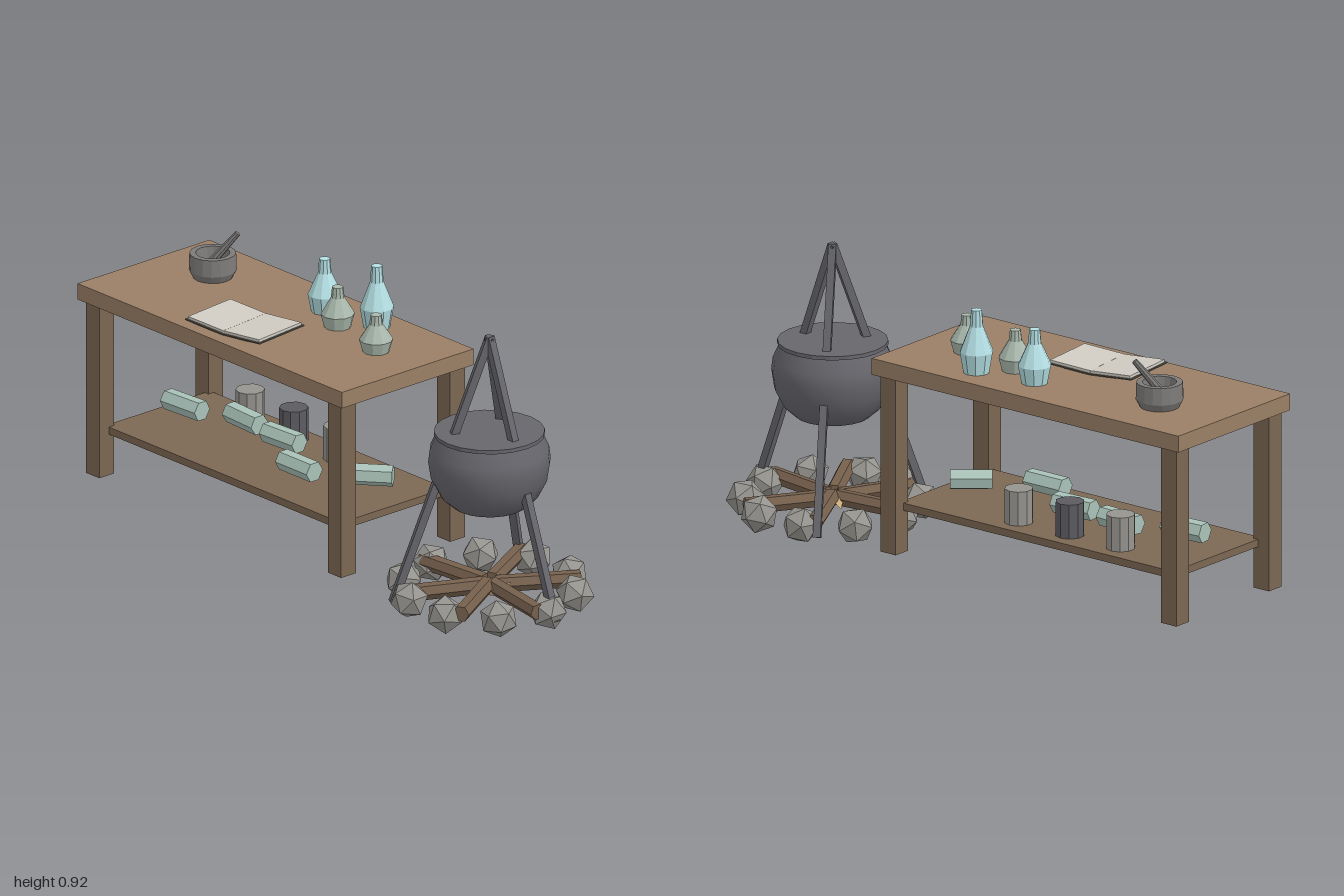
import * as THREE from 'three';

const mats = {};
const mat = (color, flat = true) => mats[color + '' + flat] ??= new THREE.MeshStandardMaterial({ color, flatShading: flat, side: THREE.DoubleSide });
const WOOD = 0x9a7f66, DARKWOOD = 0x7c6753, IRON = 0x67666c, STONE = 0x96948f, GLASS = 0xb4dfe3, GREEN = 0xa9b8ac;
const UP = new THREE.Vector3(0, 1, 0);
const V = (x, y, z) => new THREE.Vector3(x, y, z);

function add(parent, name, geo, material, x = 0, y = 0, z = 0) {
  const m = new THREE.Mesh(geo, material);
  m.name = name;
  m.position.set(x, y, z);
  parent.add(m);
  return m;
}
const box = (p, n, w, h, d, c, x, y, z) => add(p, n, new THREE.BoxGeometry(w, h, d), mat(c), x, y, z);

// Straight round or many-sided bar between two points
function bar(parent, name, a, b, r0, r1, sides, color) {
  const m = add(parent, name, new THREE.CylinderGeometry(r1, r0, a.distanceTo(b), sides), mat(color));
  m.position.copy(a).lerp(b, 0.5);
  m.quaternion.setFromUnitVectors(UP, b.clone().sub(a).normalize());
  return m;
}
const lathe = (pts, sides) => new THREE.LatheGeometry(pts.map(([r, y]) => new THREE.Vector2(r, y)), sides);

function makeTable() {
  const g = new THREE.Group();
  g.name = 'table';
  const cx = -0.367;
  box(g, 'tableTop', 1.266, 0.055, 0.565, WOOD, cx, 0.672, 0);
  box(g, 'lowerShelf', 1.13, 0.025, 0.45, DARKWOOD, cx, 0.203, 0);
  for (const sx of [-1, 1]) for (const sz of [-1, 1])
    box(g, 'tableLeg', 0.063, 0.6, 0.063, DARKWOOD, cx + sx * 0.579, 0.35, sz * 0.234);
  return g;
}

function makeTableItems() {
  const g = new THREE.Group();
  g.name = 'tableItems';

  // Bottles: x, z, height, colour
  const bottles = [[-0.296, -0.147, 0.18, GLASS], [-0.168, -0.088, 0.137, GREEN], [-0.083, -0.18, 0.21, GLASS], [0.072, -0.038, 0.125, GREEN]];
  for (const [x, z, h, c] of bottles) {
    const prof = [[0, 0], [0.043, 0], [0.055, 0.33 * h], [0.022, 0.74 * h], [0.018, h], [0, h]];
    add(g, 'bottle', lathe(prof, 10), mat(c), x, 0.7, z);
  }

  // Mortar and pestle
  const bowl = [[0, 0], [0.064, 0], [0.077, 0.025], [0.075, 0.082], [0.055, 0.082], [0.048, 0.03], [0, 0.025]];
  add(g, 'mortar', lathe(bowl, 16), mat(0x7d7b79), -0.757, 0.7, -0.08);
  bar(g, 'pestle', V(-0.768, 0.735, -0.07), V(-0.697, 0.852, -0.133), 0.015, 0.01, 8, 0x7d7b79);

  // Open book, both halves rising from the spine
  const book = new THREE.Group();
  book.name = 'openBook';
  book.position.set(-0.37, 0.701, 0.13);
  book.rotation.y = 0.11;
  for (const s of [-1, 1]) {
    const half = new THREE.Group();
    half.name = 'bookHalf';
    half.rotation.z = s * 0.06;
    box(half, 'cover', 0.16, 0.004, 0.215, 0x5e5850, s * 0.08, 0.001, 0);
    box(half, 'pages', 0.152, 0.009, 0.203, 0xcfcbc2, s * 0.077, 0.0075, 0);
    book.add(half);
  }
  g.add(book);
  return g;
}

function makeShelfItems() {
  const g = new THREE.Group();
  g.name = 'shelfItems';
  // Upright jars
  for (const [x, c] of [[-0.645, STONE], [-0.436, 0x5c5b60], [-0.225, STONE]])
    add(g, 'jar', new THREE.CylinderGeometry(0.047, 0.047, 0.115, 10), mat(c), x, 0.272, -0.14);
  // Six-sided rolls lying down: x, z, length, turn
  const rolls = [[-0.79, 0.01, 0.155, 0.06], [-0.575, -0.055, 0.15, -0.06], [-0.37, -0.035, 0.15, 0.05], [-0.155, 0.09, 0.15, 0], [0.06, -0.032, 0.135, 0.7]];
  for (const [x, z, len, turn] of rolls) {
    const d = V(Math.cos(turn), 0, -Math.sin(turn)).multiplyScalar(len / 2), c = V(x, 0.272, z);
    bar(g, 'roll', c.clone().sub(d), c.clone().add(d), 0.035, 0.035, 6, 0xa9c2b8);
  }
  return g;
}

function makeCauldron() {
  const g = new THREE.Group();
  g.name = 'cauldron';
  const prof = [[0, 0.345], [0.07, 0.348], [0.12, 0.358], [0.158, 0.392], [0.188, 0.45], [0.197, 0.51], [0.192, 0.55], [0.17, 0.598]];
  add(g, 'pot', lathe(prof, 20), mat(IRON, false));
  add(g, 'potRim', new THREE.CylinderGeometry(0.178, 0.178, 0.013, 20), mat(IRON), 0, 0.604, 0);
  // Tripod
  for (let i = 0; i < 3; i++) {
    const a = i * Math.PI * 2 / 3, leg = new THREE.Group();
    leg.name = 'tripodLeg';
    leg.rotation.y = a;
    const m = box(leg, 'tripodBar', 0.025, 0.94, 0.025, IRON, 0.157, 0.488, 0);
    m.rotation.z = Math.atan2(0.314, 0.88);
    g.add(leg);
  }
  return g;
}

function makeCampfire() {
  const g = new THREE.Group();
  g.name = 'campfire';
  // Ring of stones
  for (let i = 0; i < 10; i++) {
    const a = i * Math.PI / 5;
    const s = add(g, 'stone', new THREE.IcosahedronGeometry(0.063, 0), mat(STONE), 0.28 * Math.cos(a), 0.073, 0.28 * Math.sin(a));
    s.rotation.set(i * 0.37, i * 1.9, i * 0.23);
  }
  // Logs laid like spokes
  [-58, 10, 60, 115, 175, -118].forEach((deg, i) => {
    const a = deg * Math.PI / 180, dir = V(Math.cos(a), 0, Math.sin(a));
    const y = 0.085 + 0.004 * (i % 3 - 1);
    bar(g, 'log', dir.clone().multiplyScalar(0.02).setY(y), dir.clone().multiplyScalar(0.295).setY(y), 0.028, 0.028, 6, 0x76604d);
  });
  // Kindling in the middle
  for (let i = 0; i < 6; i++) {
    const a = (i + 0.5) * Math.PI / 3;
    const k = add(g, 'kindling', new THREE.TetrahedronGeometry(0.026), mat(0xd3b27c), 0.05 * Math.cos(a), 0.077, 0.05 * Math.sin(a));
    k.rotation.set(i, i * 2, i * 0.5);
  }
  return g;
}

export function createModel() {
  const root = new THREE.Group();
  root.name = 'alchemyStation';
  const hearth = new THREE.Group();
  hearth.name = 'hearth';
  hearth.position.x = 0.657;
  hearth.add(makeCauldron(), makeCampfire());
  root.add(makeTable(), makeTableItems(), makeShelfItems(), hearth);
  return root;
}
